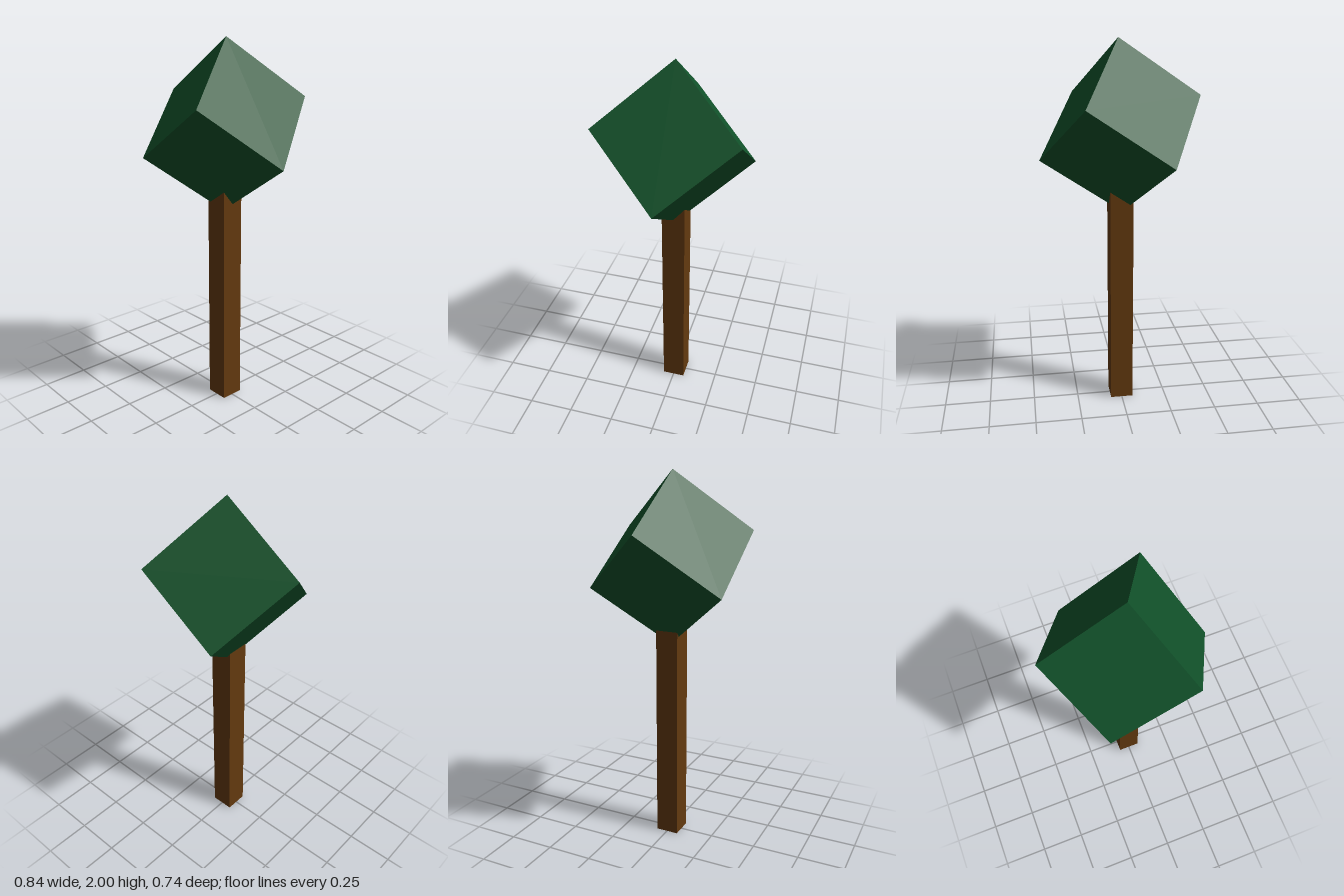
import * as THREE from 'three';

export function createModel() {
  const bark = new THREE.MeshStandardMaterial({ color: 0x643a0f });
  bark.name = 'bark brown';
  const leaf = new THREE.MeshStandardMaterial({ color: 0x11522a });
  leaf.name = 'leaf green';

  const tree = new THREE.Group();
  tree.name = 'tree';

  // Square trunk, its top buried in the foliage
  const trunkHeight = 1.3;
  const trunk = new THREE.Mesh(new THREE.BoxGeometry(0.124, trunkHeight, 0.124), bark);
  trunk.name = 'trunk';
  trunk.position.y = trunkHeight / 2;
  tree.add(trunk);

  // Foliage cube balanced on one corner
  const foliage = new THREE.Mesh(new THREE.BoxGeometry(0.52, 0.52, 0.52), leaf);
  foliage.name = 'foliage';
  foliage.position.y = 1.549;
  foliage.rotation.set(Math.PI / 4, 0, THREE.MathUtils.degToRad(34), 'ZYX');
  tree.add(foliage);

  return tree;
}
